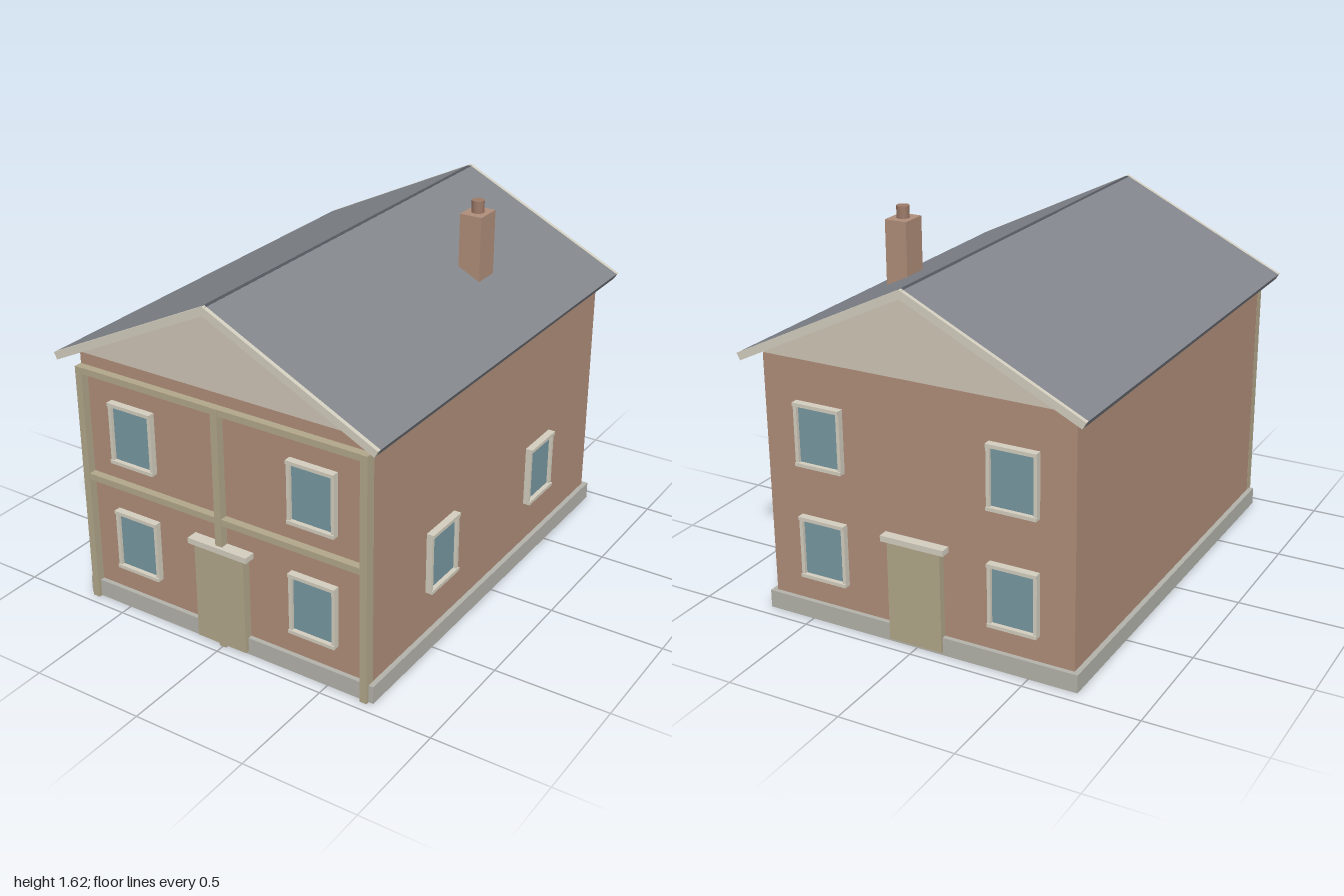
import * as THREE from 'three';

const mat = (color) => new THREE.MeshStandardMaterial({ color, flatShading: true });
const brick = mat(0xb08e7a), trim = mat(0xd3cebf), stone = mat(0xb4b3ab);
const timber = mat(0xb2a78a), glass = mat(0x7898a2), slate = mat(0x83878d);
const ridgeDark = mat(0x55595f), plaster = mat(0xd0c6b6);

const W = 0.69, D = 0.925, WALL_TOP = 1.13;

// Box given by its min and max corners
function box(parent, name, material, [x0, y0, z0], [x1, y1, z1]) {
  const mesh = new THREE.Mesh(new THREE.BoxGeometry(x1 - x0, y1 - y0, z1 - z0), material);
  mesh.position.set((x0 + x1) / 2, (y0 + y1) / 2, (z0 + z1) / 2);
  mesh.name = name;
  parent.add(mesh);
  return mesh;
}

// Outline in x and y, extruded from z0 to z1
function prism(parent, name, material, points, z0, z1) {
  const shape = new THREE.Shape(points.map(([x, y]) => new THREE.Vector2(x, y)));
  const geo = new THREE.ExtrudeGeometry(shape, { depth: z1 - z0, bevelEnabled: false });
  geo.translate(0, 0, z0);
  const mesh = new THREE.Mesh(geo, material);
  mesh.name = name;
  parent.add(mesh);
  return mesh;
}

// Framed window on the plane z = 0, facing +z
function makeWindow(w, h) {
  const g = new THREE.Group(), x = w / 2, y = h / 2, t = 0.015;
  g.name = 'window';
  box(g, 'windowPane', glass, [-x + t, -y + t, -0.005], [x - t, y - t, 0.012]);
  for (const s of [-1, 1]) {
    const c = s * (x - t / 2), r = s * (y - t / 2);
    box(g, 'windowJamb', trim, [c - t / 2, -y + t, -0.005], [c + t / 2, y - t, 0.026]);
    box(g, s > 0 ? 'windowHead' : 'windowSill', trim,
      [-x, r - t / 2, -0.005], [x, r + t / 2, 0.032]);
  }
  return g;
}

// Door, lintel and four windows of one end wall
function makeEndWall(name, doorDepth, lintelDepth) {
  const g = new THREE.Group();
  g.name = name;
  box(g, 'door', timber, [-0.12, 0.015, D - 0.01], [0.12, 0.45, doorDepth]);
  box(g, 'doorLintel', trim, [-0.143, 0.45, D - 0.01], [0.143, 0.475, lintelDepth]);
  for (const x of [-0.433, 0.433]) for (const y of [0.325, 0.82]) {
    const win = makeWindow(0.215, 0.272);
    win.position.set(x, y, D);
    g.add(win);
  }
  return g;
}

export function createModel() {
  const house = new THREE.Group();
  house.name = 'house';

  // Walls, plinth and gables
  box(house, 'walls', brick, [-W, 0.04, -D], [W, WALL_TOP, D]);
  box(house, 'plinth', stone, [-0.712, 0, -0.945], [0.712, 0.078, 0.945]);
  prism(house, 'gable', plaster, [[-W, WALL_TOP], [W, WALL_TOP], [0, 1.476]], -D, D);

  // End walls
  const front = makeEndWall('frontWall', 0.964, 0.976);
  const back = makeEndWall('backWall', 0.956, 0.968);
  back.rotation.y = Math.PI;
  house.add(front, back);

  // Timber frame on the front
  const frame = new THREE.Group();
  frame.name = 'timberFrame';
  for (const x of [-0.675, 0, 0.675])
    box(frame, 'post', timber, [x - 0.016, 0, D - 0.01], [x + 0.016, 1.08, 0.961]);
  for (const y of [0.587, 1.066])
    box(frame, 'beam', timber, [-W, y - 0.014, D - 0.01], [W, y + 0.014, 0.959]);
  house.add(frame);

  // Side windows, only on the left wall
  for (const z of [-0.418, 0.418]) {
    const win = makeWindow(0.215, 0.272);
    win.position.set(W, 0.404, z);
    win.rotation.y = Math.PI / 2;
    house.add(win);
  }

  // Roof slopes with verge boards at both ends
  for (const s of [-1, 1]) {
    const side = [[0.008 * s, 1.506], [0.76 * s, 1.138], [0.744 * s, 1.11], [0, 1.473]];
    prism(house, 'roofSlope', slate, side, -0.985, 0.985);
    const verge = [[0, 1.51], [0.76 * s, 1.138], [0.744 * s, 1.11], [0, 1.473]];
    prism(house, 'vergeBoard', trim, verge, 0.982, 1);
    prism(house, 'vergeBoard', trim, verge, -1, -0.982);
  }
  box(house, 'ridge', ridgeDark, [-0.009, 1.48, -0.995], [0.009, 1.506, 0.995]);

  // Chimney with its pot
  box(house, 'chimney', brick, [0.363, 1.25, -0.37], [0.463, 1.563, -0.25]);
  const pot = new THREE.Mesh(new THREE.CylinderGeometry(0.027, 0.027, 0.06, 20),
    new THREE.MeshStandardMaterial({ color: 0x9c7a68 }));
  pot.name = 'chimneyPot';
  pot.position.set(0.413, 1.585, -0.31);
  house.add(pot);

  return house;
}
